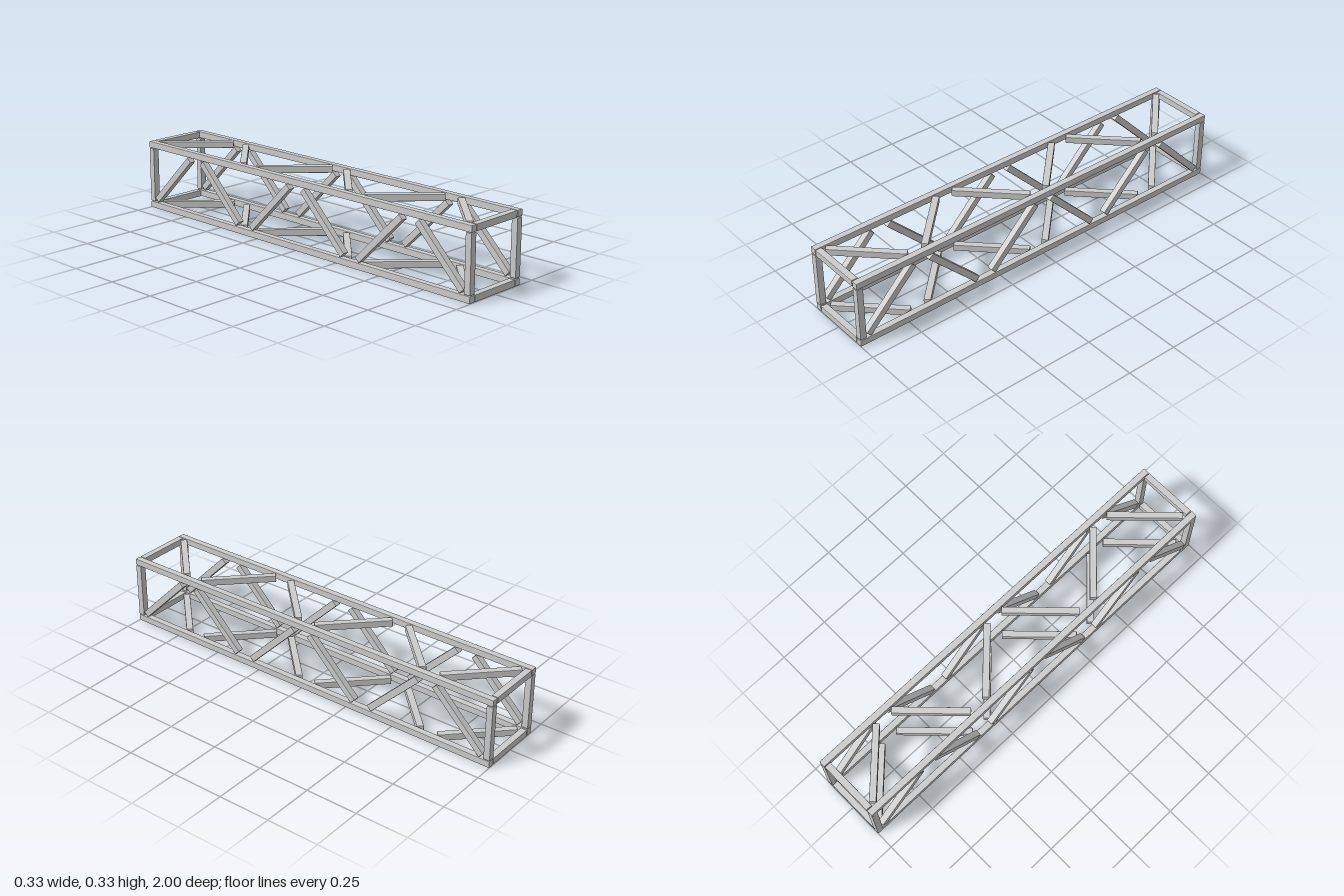
import * as THREE from 'three';
import { RoundedBoxGeometry } from 'three/addons/geometries/RoundedBoxGeometry.js';

const W = 0.0315;     // bar thickness
const SPAN = 0.1505;  // rail centre from the truss axis
const MID = 0.1663;   // height of the truss axis
const BAYS = 6;

export function createModel() {
  const group = new THREE.Group();
  const material = new THREE.MeshStandardMaterial({ color: 0xcccccc, flatShading: true });

  // Square bar with narrow chamfered edges, running along z
  const barGeometry = (length) => new RoundedBoxGeometry(W, W, length, 1, 0.003);
  const rail = barGeometry(2);
  const endBar = barGeometry(0.264);
  const brace = barGeometry(0.347);

  function add(name, geometry, x, y, z, rx = 0, ry = 0) {
    const mesh = new THREE.Mesh(geometry, material);
    mesh.name = name;
    mesh.position.set(x, MID + y, z);
    mesh.rotation.set(rx, ry, 0);
    group.add(mesh);
  }

  for (const s of [-1, 1]) {
    // Four long corner rails
    for (const t of [-1, 1]) add('cornerRail', rail, s * SPAN, t * SPAN, 0);

    // Square frames closing both ends
    const zEnd = 1 - W / 2;
    for (const e of [-1, 1]) {
      add('endPost', endBar, s * SPAN, 0, e * zEnd, Math.PI / 2, 0);
      add('endCrossbar', endBar, 0, s * SPAN, e * zEnd, 0, Math.PI / 2);
    }

    // Zigzag braces on the side, top and bottom faces
    for (let i = 0; i < BAYS; i++) {
      const z = -1 + (i + 0.5) * (2 / BAYS);
      const slope = i % 2 === 0 ? 1 : -1; // rises with +z in even bays
      add('sideBrace', brace, s * SPAN, 0, z, -slope * Math.PI / 4, 0);
      add(s > 0 ? 'topBrace' : 'bottomBrace', brace, 0, s * SPAN, z, 0, slope * Math.PI / 4);
    }
  }
  return group;
}
